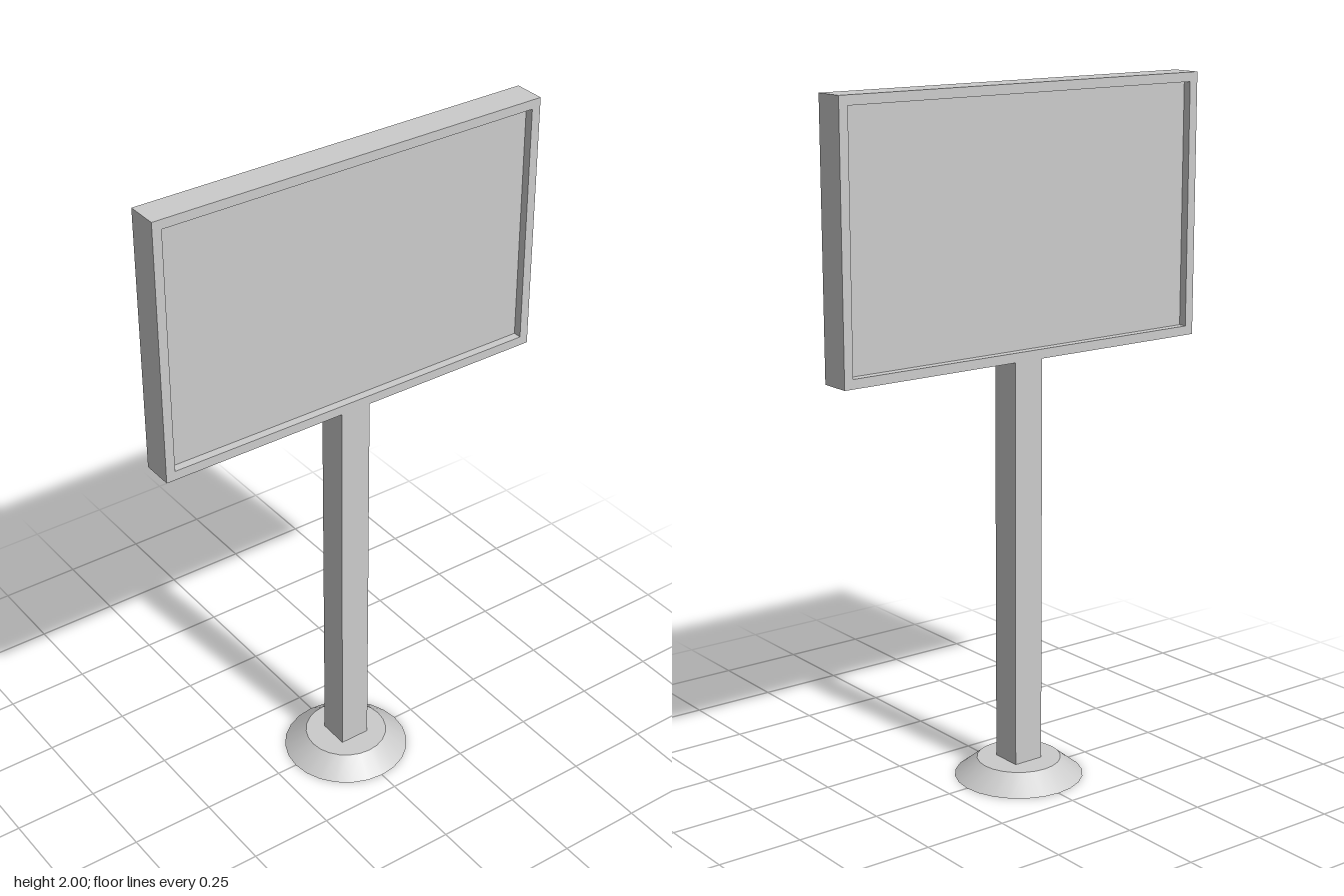
import * as THREE from 'three';

const W = 1.21, D = 0.093;          // sign width and depth
const BOTTOM = 1.24, TOP = 2;       // sign height range
const BORDER = 0.027, RECESS = 0.025;
const BASE_H = 0.052;

export function createModel() {
  const model = new THREE.Group();
  const material = new THREE.MeshStandardMaterial({ color: 0xcccccc });

  const add = (name, geometry, y = 0) => {
    const mesh = new THREE.Mesh(geometry, material);
    mesh.name = name;
    mesh.position.y = y;
    model.add(mesh);
  };

  const rectangle = (Type, w, h) => new Type([
    new THREE.Vector2(-w / 2, -h / 2),
    new THREE.Vector2(w / 2, -h / 2),
    new THREE.Vector2(w / 2, h / 2),
    new THREE.Vector2(-w / 2, h / 2),
  ]);

  const H = TOP - BOTTOM, midY = (TOP + BOTTOM) / 2;
  const innerW = W - 2 * BORDER, innerH = H - 2 * BORDER;

  // Rectangular frame around the sign
  const frame = rectangle(THREE.Shape, W, H);
  frame.holes.push(rectangle(THREE.Path, innerW, innerH));
  const frameGeometry = new THREE.ExtrudeGeometry(frame, { depth: D, bevelEnabled: false });
  frameGeometry.translate(0, 0, -D / 2);
  add('signFrame', frameGeometry, midY);

  // Panel recessed on both faces
  add('signPanel', new THREE.BoxGeometry(innerW, innerH, D - 2 * RECESS), midY);

  // Square post from base to sign
  add('post', new THREE.BoxGeometry(D, BOTTOM - BASE_H, D), (BOTTOM + BASE_H) / 2);

  // Tapered round foot
  add('base', new THREE.CylinderGeometry(0.122, 0.187, BASE_H, 24), BASE_H / 2);

  return model;
}
